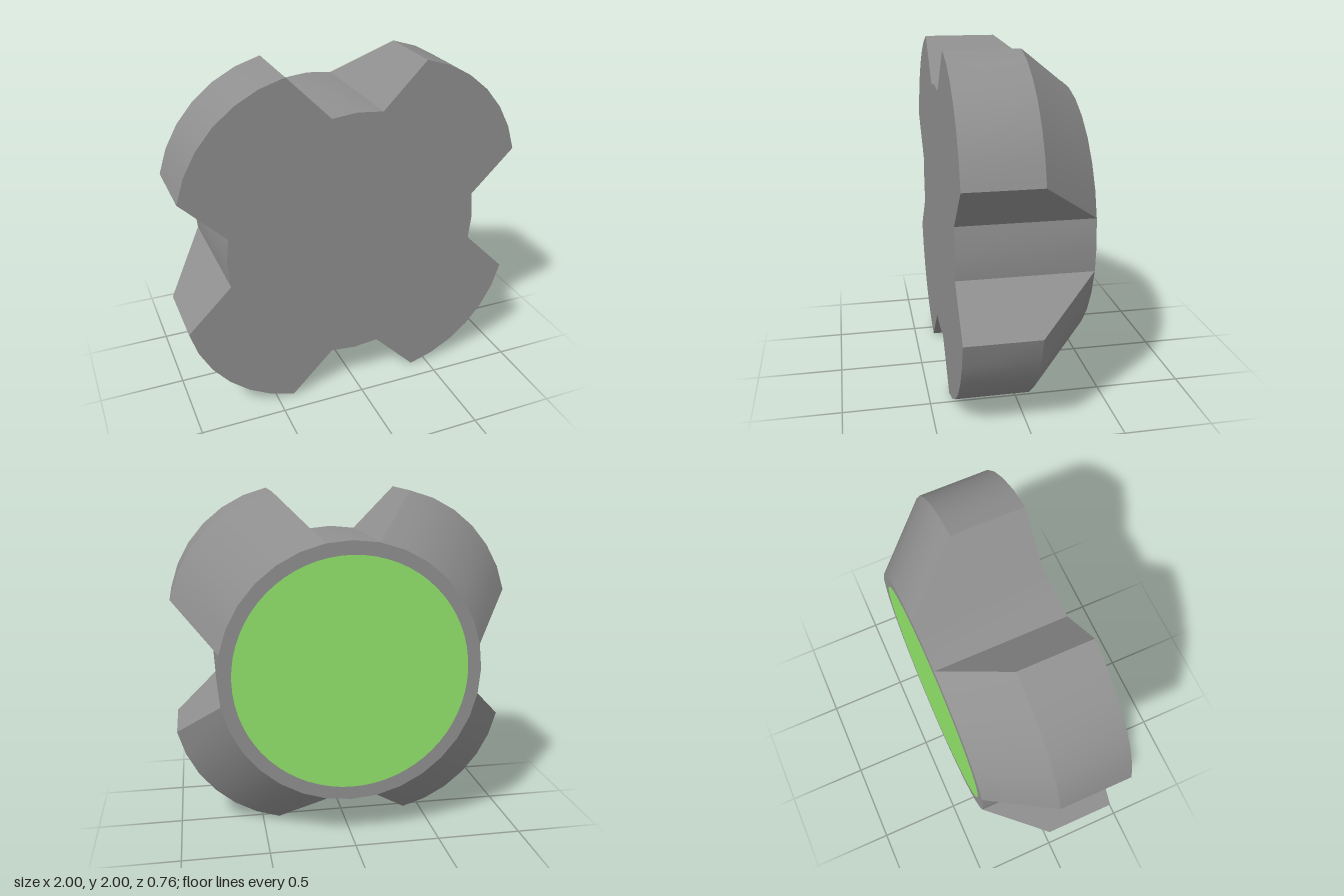
import * as THREE from 'three';
import { toCreasedNormals } from 'three/addons/utils/BufferGeometryUtils.js';

const FRONT = 0.378, SHOULDER = -0.04, BACK = -0.378;
const CORE = 0.76;                            // radius of the round core
const NOTCH = Math.atan2(0.149, 0.745);       // half angle of each notch floor
const LOBE_R = 0.781, LOBE_C = 0.334;         // lobe arc radius and centre distance
const LOBE_HALF = Math.asin(0.424 / LOBE_R);  // half angle of each lobe arc
const STEPS = 6;

const polar = (r, a) => [r * Math.cos(a), r * Math.sin(a)];

// Matching outlines: the four-lobed section and the round back rim
function outlines() {
  const lobed = [], round = [];
  for (let q = 0; q < 4; q++) {
    const start = q * Math.PI / 2;
    const mid = start + Math.PI / 4;
    // middle of the notch floor
    lobed.push(polar(CORE, start));
    round.push(polar(CORE, start));
    // end of the notch floor
    lobed.push(polar(CORE, start + NOTCH));
    round.push(polar(CORE, start + NOTCH));
    // lobe arc, tapering onto the core at the back
    const [cx, cy] = polar(LOBE_C, mid);
    for (let i = 0; i <= STEPS; i++) {
      const t = (i / STEPS) * 2 - 1;
      const [x, y] = polar(LOBE_R, mid + t * LOBE_HALF);
      lobed.push([cx + x, cy + y]);
      round.push(polar(CORE, mid + t * (Math.PI / 4 - NOTCH)));
    }
    // start of the next notch floor
    lobed.push(polar(CORE, start + Math.PI / 2 - NOTCH));
    round.push(polar(CORE, start + Math.PI / 2 - NOTCH));
  }
  return { lobed, round };
}

// Loft through the sections from front to back, with both ends capped
function loft(sections) {
  const pos = [];
  const tri = (a, b, c) => {
    const u = new THREE.Vector3().subVectors(b, a);
    const v = new THREE.Vector3().subVectors(c, a);
    if (u.cross(v).length() < 1e-7) return; // skip collapsed faces
    for (const p of [a, b, c]) pos.push(p.x, p.y, p.z);
  };
  const rings = sections.map(([pts, z]) => pts.map(([x, y]) => new THREE.Vector3(x, y, z)));
  const n = rings[0].length;
  const first = rings[0], last = rings[rings.length - 1];
  const frontMid = new THREE.Vector3(0, 0, first[0].z);
  const backMid = new THREE.Vector3(0, 0, last[0].z);
  for (let i = 0; i < n; i++) {
    const j = (i + 1) % n;
    for (let k = 0; k < rings.length - 1; k++) {
      const a = rings[k], b = rings[k + 1];
      tri(a[i], b[i], b[j]);
      tri(a[i], b[j], a[j]);
    }
    tri(frontMid, first[i], first[j]);
    tri(backMid, last[j], last[i]);
  }
  const geo = new THREE.BufferGeometry();
  geo.setAttribute('position', new THREE.Float32BufferAttribute(pos, 3));
  return toCreasedNormals(geo, 0.45);
}

export function createModel() {
  const model = new THREE.Group();
  model.name = 'lobedKnob';

  const grey = new THREE.MeshStandardMaterial({ color: 0x909090 });
  grey.name = 'grey';
  const green = new THREE.MeshStandardMaterial({ color: 0x92e46b });
  green.name = 'green';

  // Four-lobed body with a tapered back
  const { lobed, round } = outlines();
  const body = new THREE.Mesh(loft([[lobed, FRONT], [lobed, SHOULDER], [round, BACK]]), grey);
  body.name = 'body';
  body.position.y = 1;

  // Green disc on the back, leaving a grey rim
  const disc = new THREE.Mesh(new THREE.CircleGeometry(0.681, 64), green);
  disc.name = 'backDisc';
  disc.rotation.y = Math.PI;
  disc.position.set(0, 1, BACK - 0.001);

  model.add(body, disc);
  return model;
}
